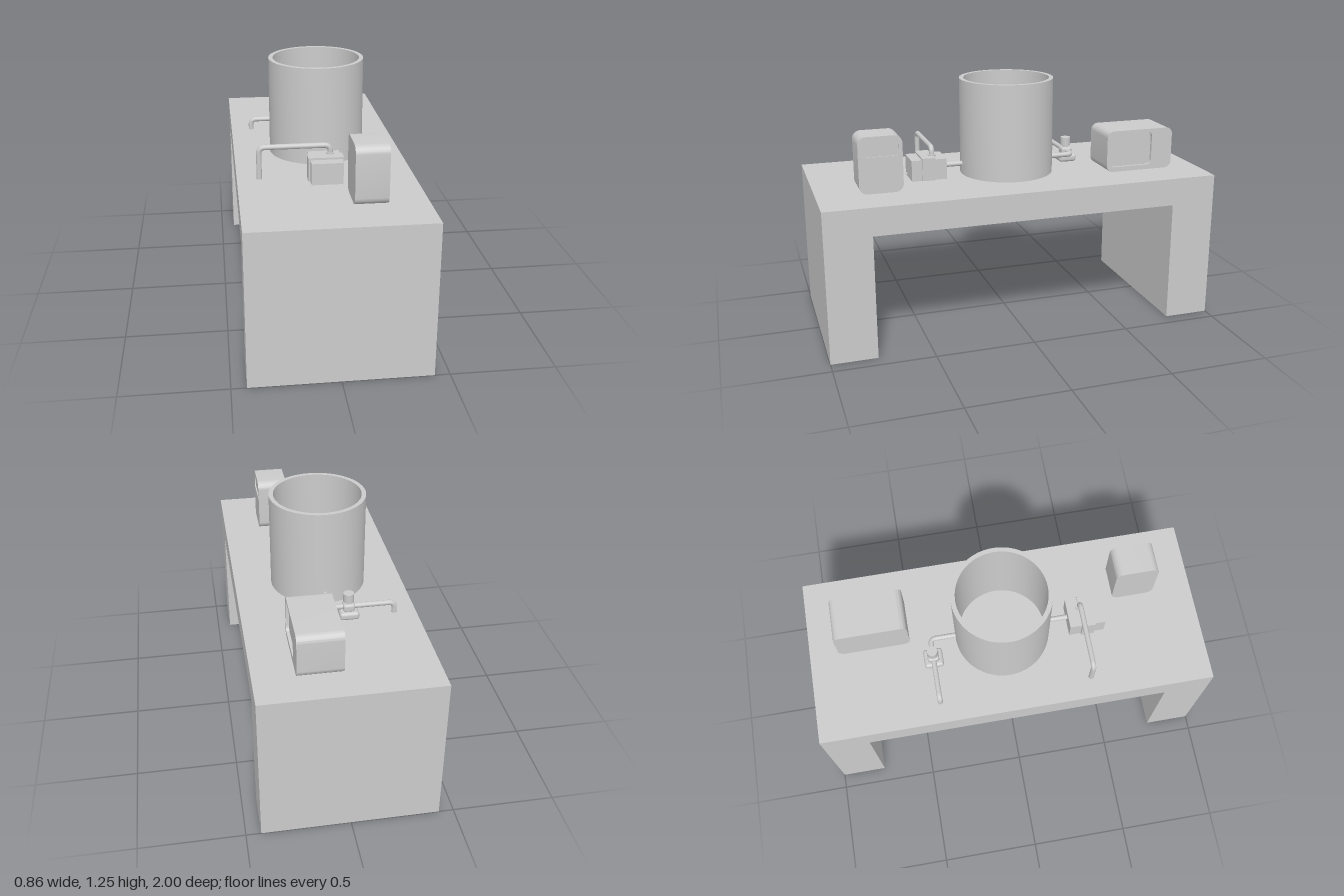
import * as THREE from 'three';
import { toCreasedNormals } from 'three/addons/utils/BufferGeometryUtils.js';
import { RoundedBoxGeometry } from 'three/addons/geometries/RoundedBoxGeometry.js';

const grey = new THREE.MeshStandardMaterial({ color: 0xcccccc });
const TOP = 0.76; // height of the bench surface

function add(parent, name, geometry, x = 0, y = 0, z = 0) {
  const mesh = new THREE.Mesh(geometry, grey);
  mesh.name = name;
  mesh.position.set(x, y, z);
  parent.add(mesh);
  return mesh;
}

// Box given by its limits
function block(parent, name, x0, x1, y0, y1, z0, z1) {
  return add(parent, name, new THREE.BoxGeometry(x1 - x0, y1 - y0, z1 - z0),
    (x0 + x1) / 2, (y0 + y1) / 2, (z0 + z1) / 2);
}

// Rounded rectangle, drawn on a Shape or a Path
function roundRect(p, x0, x1, y0, y1, r) {
  p.moveTo(x0 + r, y0);
  p.lineTo(x1 - r, y0);
  p.absarc(x1 - r, y0 + r, r, -Math.PI / 2, 0);
  p.lineTo(x1, y1 - r);
  p.absarc(x1 - r, y1 - r, r, 0, Math.PI / 2);
  p.lineTo(x0 + r, y1);
  p.absarc(x0 + r, y1 - r, r, Math.PI / 2, Math.PI);
  p.lineTo(x0, y0 + r);
  p.absarc(x0 + r, y0 + r, r, Math.PI, Math.PI * 1.5);
  return p;
}

// Extrude a profile drawn in (-z, y) along x
function extrudeX(parent, name, shape, x0, x1) {
  let g = new THREE.ExtrudeGeometry(shape, { depth: x1 - x0, bevelEnabled: false, curveSegments: 8 });
  g.rotateY(Math.PI / 2);
  g = toCreasedNormals(g, Math.PI / 6);
  return add(parent, name, g, x0);
}

// Rounded case with a shallow window sunk into its +x face
function makeCase(name, [x0, x1], [y0, y1], [z0, z1], r, win, depth) {
  const group = new THREE.Group();
  group.name = name;
  const outline = () => roundRect(new THREE.Shape(), -z1, -z0, y0, y1, r);
  extrudeX(group, name + 'Body', outline(), x0, x1 - depth);
  const face = outline();
  face.holes.push(roundRect(new THREE.Path(), -win.z[1], -win.z[0], win.y[0], win.y[1], win.r));
  extrudeX(group, name + 'WindowFrame', face, x1 - depth, x1);
  return group;
}

// Pipe through points with rounded elbows and capped ends
function pipe(parent, name, points, radius = 0.013, bend = 0.03) {
  const pts = points.map((p) => new THREE.Vector3(...p));
  const path = new THREE.CurvePath();
  let start = pts[0];
  for (let i = 1; i < pts.length - 1; i++) {
    const a = pts[i].clone().add(pts[i - 1].clone().sub(pts[i]).setLength(bend));
    const b = pts[i].clone().add(pts[i + 1].clone().sub(pts[i]).setLength(bend));
    path.add(new THREE.LineCurve3(start, a));
    path.add(new THREE.QuadraticBezierCurve3(a, pts[i], b));
    start = b;
  }
  const end = pts[pts.length - 1];
  path.add(new THREE.LineCurve3(start, end));
  add(parent, name, new THREE.TubeGeometry(path, pts.length > 2 ? 90 : 1, radius, 14));
  [[pts[0], pts[1]], [end, pts[pts.length - 2]]].forEach(([p, q]) => {
    const cap = add(parent, name + 'Cap', new THREE.CircleGeometry(radius, 14), p.x, p.y, p.z);
    cap.lookAt(p.clone().multiplyScalar(2).sub(q));
  });
}

export function createModel() {
  const model = new THREE.Group();
  model.name = 'benchWithTank';

  // Bench: one thick slab with a leg panel at each end
  const bench = new THREE.Shape();
  [[-1, 0], [-0.77, 0], [-0.77, 0.62], [0.77, 0.62], [0.77, 0], [1, 0], [1, TOP], [-1, TOP]]
    .forEach(([u, v], i) => (i ? bench.lineTo(u, v) : bench.moveTo(u, v)));
  extrudeX(model, 'bench', bench, -0.428, 0.428);

  // Open tank with a thin wall and a floor
  const profile = [[0, TOP], [0.24, TOP], [0.24, 1.25], [0.218, 1.25], [0.218, 0.785], [0, 0.785]]
    .map(([r, y]) => new THREE.Vector2(r, y));
  add(model, 'tank', toCreasedNormals(new THREE.LatheGeometry(profile, 64), Math.PI / 6), 0, 0, -0.012);

  // Control cases on the bench
  model.add(makeCase('controller', [0.08, 0.235], [0.765, 1.045], [0.58, 0.795], 0.04,
    { z: [0.6, 0.775], y: [0.945, 1.01], r: 0.012 }, 0.006));
  model.add(makeCase('monitor', [0.015, 0.23], [0.765, 0.98], [-0.85, -0.485], 0.035,
    { z: [-0.735, -0.5], y: [0.79, 0.965], r: 0.025 }, 0.015));

  // Pump made of three stacked blocks
  const pump = new THREE.Group();
  pump.name = 'pump';
  block(pump, 'pumpFront', -0.08, 0.072, TOP, 0.866, 0.452, 0.505);
  block(pump, 'pumpMiddle', -0.09, 0.08, TOP, 0.876, 0.385, 0.452);
  block(pump, 'pumpRear', -0.08, 0.072, TOP, 0.866, 0.325, 0.385);
  for (const x of [-0.057, -0.042]) {
    add(pump, 'pumpButton', new THREE.CylinderGeometry(0.004, 0.004, 0.008, 10).rotateX(Math.PI / 2),
      x, 0.771, 0.508);
  }
  add(pump, 'pipeCollar', new THREE.CylinderGeometry(0.02, 0.02, 0.012, 20), 0.022, 0.876, 0.39);
  pipe(pump, 'outletPipe', [[0.022, 0.86, 0.39], [0.022, 0.918, 0.39], [-0.32, 0.918, 0.39], [-0.32, TOP, 0.39]]);
  pipe(pump, 'tankPipe', [[0, 0.815, 0.33], [0, 0.815, 0.222]]);
  model.add(pump);

  // Valve with a turning knob on the drain pipe
  const valve = new THREE.Group();
  valve.name = 'valve';
  const [vx, vz] = [-0.092, -0.38];
  add(valve, 'valveBase', new RoundedBoxGeometry(0.096, 0.04, 0.096, 3, 0.015), vx, 0.78, vz);
  add(valve, 'valveBody', new RoundedBoxGeometry(0.058, 0.04, 0.058, 3, 0.012), vx, 0.815, vz);
  add(valve, 'valveStem', new THREE.CylinderGeometry(0.015, 0.015, 0.03, 20), vx, 0.84, vz);
  add(valve, 'valveKnob', new THREE.CylinderGeometry(0.026, 0.026, 0.045, 28), vx, 0.866, vz);
  pipe(valve, 'drainPipe', [[0, 0.815, -0.24], [0, 0.815, vz], [-0.32, 0.815, vz], [-0.32, TOP, vz]]);
  model.add(valve);

  return model;
}
